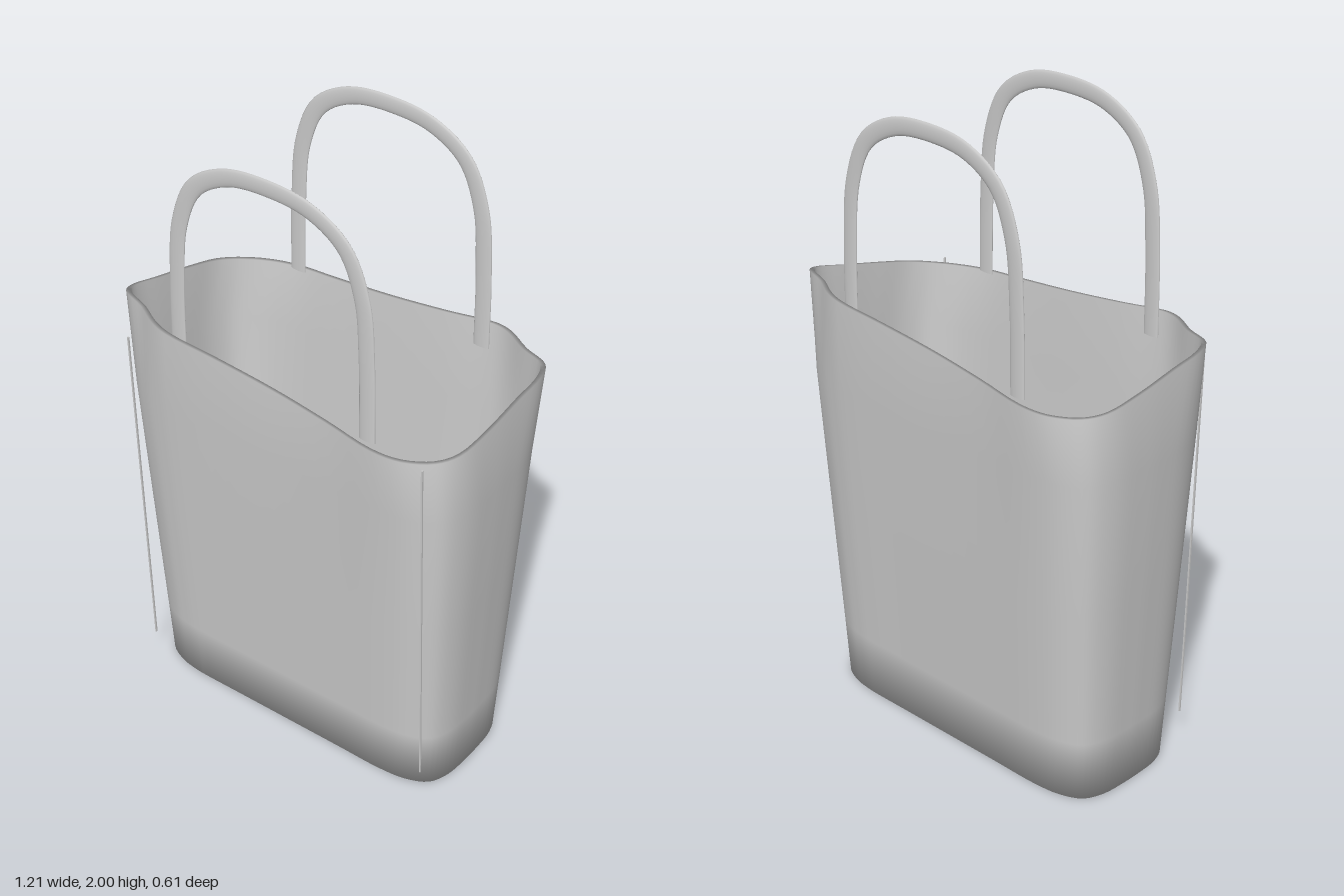
import * as THREE from 'three';

const N = 112; // points around the bag
const WALL = 0.012;

// Half outlines [x, z]; the other half is the same turned by 180 degrees
const RIM = [[0, .29], [.2, .296], [.36, .305], [.45, .287], [.53, .238], [.57, .18], [.588, .07], [.596, -.07],
  [.602, -.165], [.585, -.21], [.5, -.245], [.42, -.29], [.36, -.305], [.2, -.296]];
const BASE = [[0, .22], [.2, .22], [.35, .22], [.44, .208], [.505, .175], [.533, .115], [.54, .03], [.54, -.03],
  [.533, -.115], [.505, -.175], [.44, -.208], [.39, -.217], [.35, -.22], [.2, -.22]];

function outline(half) {
  const full = [...half, ...half.map(([x, z]) => [-x, -z])];
  const curve = new THREE.CatmullRomCurve3(full.map(([x, z]) => new THREE.Vector3(x, 0, z)), true, 'centripetal');
  return Array.from({ length: N }, (_, i) => curve.getPoint(i / N));
}

function bagGeometry() {
  const rim = outline(RIM), base = outline(BASE);

  // Ring of the wall at a height: widens upwards
  const wallRing = (y, inset) => base.map(p => new THREE.Vector3(
    p.x * (1 + 0.085 * y - inset / 0.54), y, p.z * (1 + 0.27 * y - inset / 0.22)));

  // Top ring: wavy, rising at two opposite corners and dipping at the others
  const rimRing = inset => rim.map(p => new THREE.Vector3(
    p.x * (1 - inset / 0.6),
    1.336 - 0.05 * THREE.MathUtils.clamp(p.x * p.z / 0.13, -1, 1),
    p.z * (1 - inset / 0.3)));

  const centre = y => base.map(() => new THREE.Vector3(0, y, 0));
  const heights = [0.2, 0.65, 1.08];

  // Outside from the middle of the floor to the rim, then down the inside
  const rings = [
    centre(0), wallRing(0, 0), ...heights.map(y => wallRing(y, 0)),
    rimRing(0), rimRing(WALL),
    ...heights.slice().reverse().map(y => wallRing(y, WALL)), wallRing(0.012, WALL), centre(0.012),
  ];

  const index = [];
  for (let j = 0; j < rings.length - 1; j++) {
    for (let i = 0; i < N; i++) {
      const k = (i + 1) % N;
      const a = j * N + i, b = j * N + k, c = a + N, d = b + N;
      index.push(a, b, d, a, d, c);
    }
  }
  const geometry = new THREE.BufferGeometry().setFromPoints(rings.flat());
  geometry.setIndex(index);
  geometry.computeVertexNormals();
  return geometry;
}

// Flattened strap bent into an arch
function handleGeometry() {
  const side = [[.33, 1.3], [.326, 1.55], [.308, 1.75], [.25, 1.885], [.14, 1.955]];
  const points = [
    ...side.map(([x, y]) => new THREE.Vector3(-x, y, 0)),
    new THREE.Vector3(0, 1.973, 0),
    ...side.slice().reverse().map(([x, y]) => new THREE.Vector3(x, y, 0)),
  ];
  const geometry = new THREE.TubeGeometry(new THREE.CatmullRomCurve3(points), 72, 0.027, 16);
  geometry.scale(1, 1, 0.24);
  return geometry;
}

export function createModel() {
  const group = new THREE.Group();
  const material = new THREE.MeshStandardMaterial({ color: 0xcccccc, side: THREE.DoubleSide });
  const add = (geometry, name) => {
    const mesh = new THREE.Mesh(geometry, material);
    mesh.name = name;
    group.add(mesh);
    return mesh;
  };

  add(bagGeometry(), 'bagBody');

  const handle = handleGeometry();
  add(handle, 'frontHandle').position.z = 0.277;
  add(handle, 'backHandle').position.z = -0.277;

  // Thin stitch lines beside the front corners
  const seam = new THREE.BoxGeometry(0.005, 1.18, 0.005);
  for (const [s, name] of [[1, 'leftSeam'], [-1, 'rightSeam']]) {
    const mesh = add(seam, name);
    mesh.position.set(s * 0.518, 0.7, 0.266);
    mesh.rotation.x = Math.atan2(0.04, 1.18);
  }
  return group;
}
